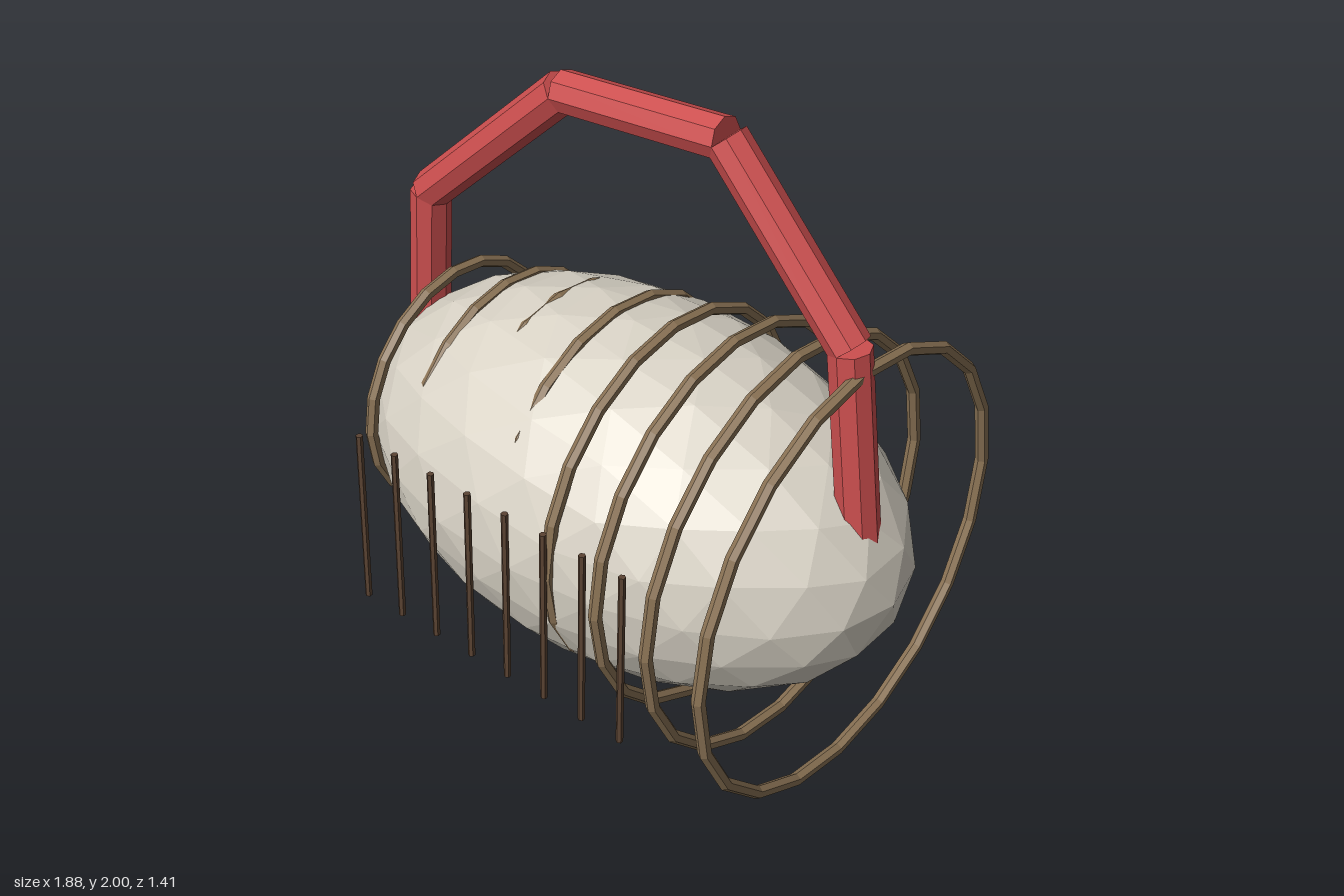
import * as THREE from 'three';

const paint = (color) => new THREE.MeshStandardMaterial({ color, flatShading: true });

// Twice-halved icosphere with its poles on the y axis
function icosphere() {
  const verts = [0, 1, 0], faces = [];
  const h = 1 / Math.sqrt(5), r = 2 * h;
  for (let i = 0; i < 5; i++) {
    const a = (i * 2 * Math.PI) / 5;
    verts.push(r * Math.cos(a), h, -r * Math.sin(a));
  }
  for (let i = 0; i < 5; i++) {
    const a = ((i + 0.5) * 2 * Math.PI) / 5;
    verts.push(r * Math.cos(a), -h, -r * Math.sin(a));
  }
  verts.push(0, -1, 0);
  for (let i = 0; i < 5; i++) {
    const j = (i + 1) % 5;
    const u = 1 + i, un = 1 + j, l = 6 + i, ln = 6 + j;
    faces.push(0, u, un, u, l, un, l, ln, un, l, 11, ln);
  }
  const once = new THREE.PolyhedronGeometry(verts, faces, 1, 1);
  const pos = Array.from(once.attributes.position.array);
  return new THREE.PolyhedronGeometry(pos, pos.slice(0, pos.length / 3).map((_, i) => i), 1, 1);
}

// Straight prism between two points
function rod(name, a, b, radius, sides, material) {
  const dir = b.clone().sub(a);
  const mesh = new THREE.Mesh(new THREE.CylinderGeometry(radius, radius, dir.length(), sides), material);
  mesh.name = name;
  mesh.position.copy(a).add(b).multiplyScalar(0.5);
  mesh.quaternion.setFromUnitVectors(new THREE.Vector3(0, 1, 0), dir.normalize());
  return mesh;
}

export function createModel() {
  const model = new THREE.Group();
  const cream = paint(0xd9d3c6), brown = paint(0x8b7355), dark = paint(0x5c4433), red = paint(0xcd4f4f);

  // Egg-shaped body
  const body = new THREE.Mesh(icosphere(), cream);
  body.name = 'body';
  body.scale.set(0.94, 0.555, 0.57);
  body.position.y = 0.67;
  model.add(body);

  // Hoops growing towards +x, partly sunk in the body
  const hoops = new THREE.Group();
  hoops.name = 'hoops';
  for (let i = 0; i < 8; i++) {
    const hoop = new THREE.Mesh(new THREE.TorusGeometry(0.388 + i * 0.0425, 0.02, 6, 20), brown);
    hoop.name = 'hoop';
    hoop.rotation.y = Math.PI / 2;
    hoop.position.set(-0.715 + i * 0.2143, 0.707, 0);
    hoops.add(hoop);
  }
  model.add(hoops);

  // Row of thin upright sticks along the front
  const sticks = new THREE.Group();
  sticks.name = 'sticks';
  for (let i = 0; i < 8; i++) {
    const x = (i - 4) / 7;
    sticks.add(rod('stick', new THREE.Vector3(x, 0.27, 0.585), new THREE.Vector3(x, 0.87, 0.57), 0.011, 6, dark));
  }
  model.add(sticks);

  // Arched handle of straight segments
  const handle = new THREE.Group();
  handle.name = 'handle';
  const path = [[-0.83, 0.8], [-0.79, 1.36], [-0.255, 1.88], [0.312, 1.935], [0.74, 1.457], [0.815, 0.8]]
    .map(([x, y]) => new THREE.Vector3(x, y, 0));
  for (let i = 0; i < path.length - 1; i++) {
    handle.add(rod('handleSegment', path[i], path[i + 1], 0.063, 8, red));
  }
  model.add(handle);

  return model;
}
